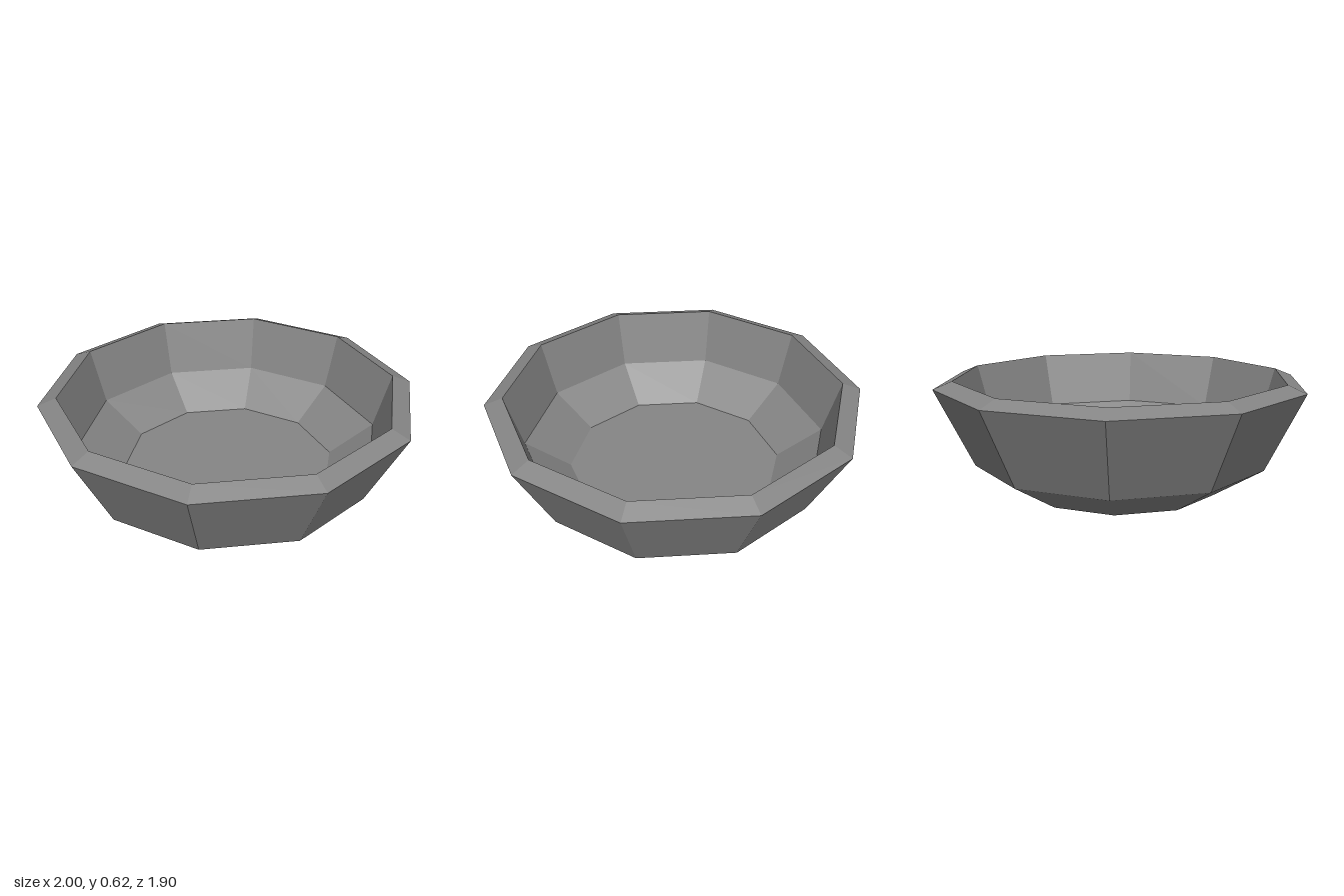
import * as THREE from 'three';

export function createModel() {
  const group = new THREE.Group();
  group.name = 'bowl';
  const stone = new THREE.MeshStandardMaterial({ color: 0x858585, flatShading: true });
  stone.name = 'grey stone';

  // Ten-sided ring of faces, with corners on the x axis
  function addPart(name, profile) {
    const points = profile.map(([r, y]) => new THREE.Vector2(r, y));
    const mesh = new THREE.Mesh(new THREE.LatheGeometry(points, 10, Math.PI / 2), stone);
    mesh.name = name;
    group.add(mesh);
  }

  // Profiles run from the base up the outside, over the rim and down inside
  addPart('outerShell', [[0, 0], [0.53, 0], [0.797, 0.163], [1, 0.58]]);
  addPart('rim', [[1, 0.58], [0.9, 0.62]]);
  addPart('innerBasin', [[0.9, 0.62], [0.816, 0.32], [0.58, 0.155], [0, 0.155]]);

  return group;
}
